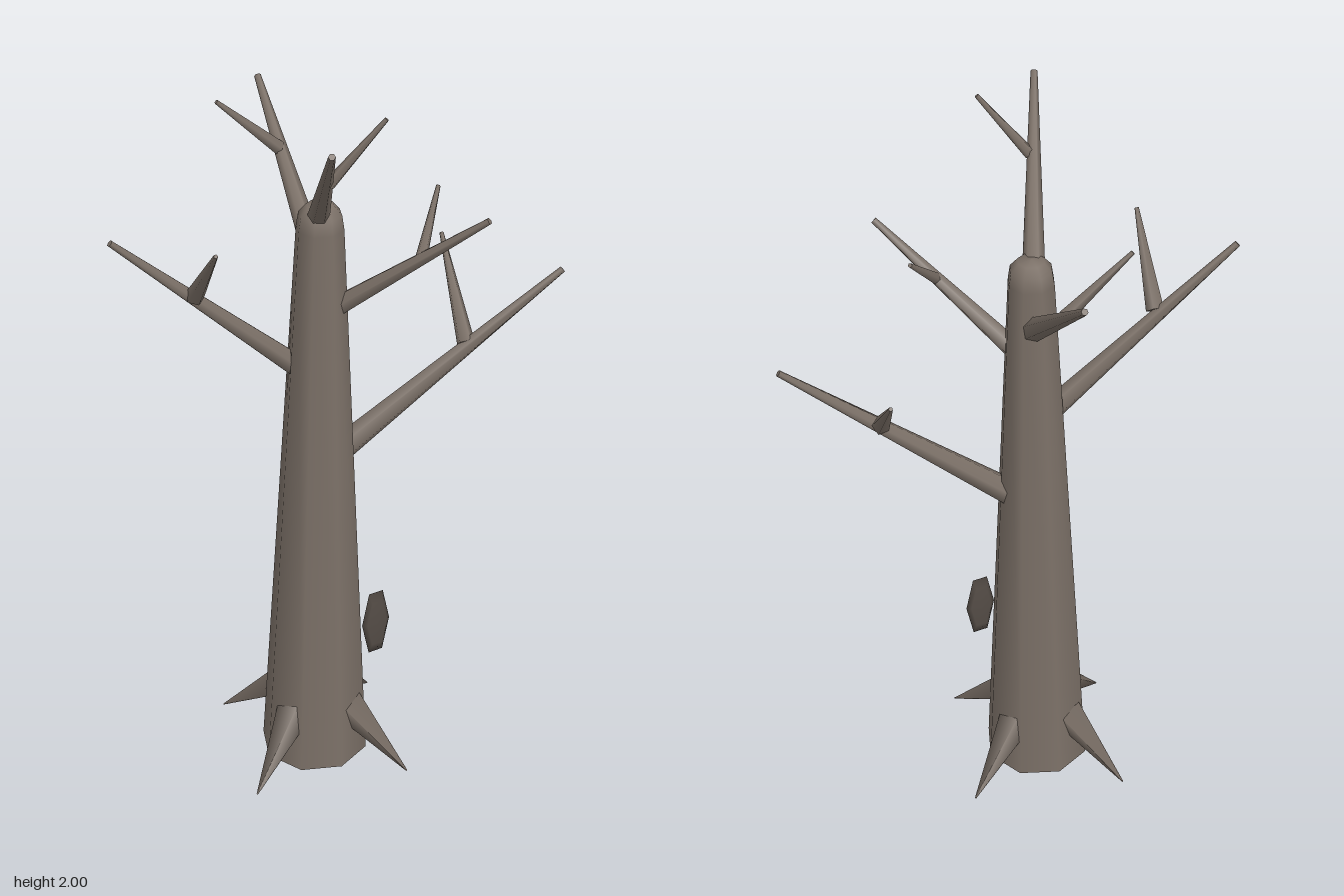
import * as THREE from 'three';

const bark = new THREE.MeshStandardMaterial({ color: 0x7b7067 });
const openBark = new THREE.MeshStandardMaterial({ color: 0x7b7067, side: THREE.DoubleSide });
const darkBark = new THREE.MeshStandardMaterial({ color: 0x544c46 });
const V = (p) => new THREE.Vector3(...p);

// Tapered limb running from point a to point b
function limb(name, a, b, r0, r1, sides) {
  const from = V(a), dir = V(b).sub(from), len = dir.length();
  const geo = new THREE.CylinderGeometry(r1, r0, len, sides);
  geo.translate(0, len / 2, 0);
  const mesh = new THREE.Mesh(geo, bark);
  mesh.name = name;
  mesh.position.copy(from);
  mesh.quaternion.setFromUnitVectors(new THREE.Vector3(0, 1, 0), dir.normalize());
  return mesh;
}

// Leaning eight-sided trunk with a rounded top, hollow and open at the bottom
function makeTrunk() {
  const profile = [[0.148, 0.004], [0.063, 1.6], [0.057, 1.638], [0.036, 1.663], [0, 1.668]];
  const geo = new THREE.LatheGeometry(profile.map(([r, y]) => new THREE.Vector2(r, y)), 8);
  const pos = geo.attributes.position;
  for (let i = 0; i < pos.count; i++) {
    pos.setX(i, pos.getX(i) - 0.072 + 0.022 * pos.getY(i) / 1.668);
    pos.setZ(i, pos.getZ(i) + 0.055);
  }
  const mesh = new THREE.Mesh(geo, openBark);
  mesh.name = 'trunk';
  return mesh;
}

export function createModel() {
  const tree = new THREE.Group();
  tree.name = 'bareTree';
  tree.add(makeTrunk());

  // Four pointed roots at right angles
  for (let i = 0; i < 4; i++) {
    const a = 1.08 + i * Math.PI / 2;
    const at = (r, y) => [-0.072 + r * Math.cos(a), y, 0.052 + r * Math.sin(a)];
    tree.add(limb('root', at(0.1, 0.17), at(0.3, 0.008), 0.05, 0.002, 4));
  }

  // Branches, each with one twig: start, tip, twig start, twig tip, branch radius, twig radius
  const branches = [
    [[-0.055, 1.62, 0.05], [-0.235, 1.98, 0.415], [-0.155, 1.83, 0.27], [-0.034, 1.998, 0.334], 0.03, 0.016],
    [[-0.09, 1.19, 0.035], [-0.578, 1.638, -0.07], [-0.375, 1.46, -0.015], [-0.41, 1.66, 0.165], 0.033, 0.025],
    [[0.01, 0.94, 0.065], [0.578, 1.395, 0.237], [0.335, 1.205, 0.155], [0.396, 1.42, -0.063], 0.037, 0.025],
    [[-0.015, 1.385, 0.09], [0.24, 1.68, 0.38], [0.13, 1.55, 0.245], [0.243, 1.68, 0.145], 0.028, 0.016],
    [[-0.035, 1.485, 0.01], [0.041, 1.82, -0.415], [0.003, 1.69, -0.24], [-0.163, 1.845, -0.27], 0.032, 0.019],
  ];
  for (const [start, tip, twigStart, twigTip, branchRadius, twigRadius] of branches) {
    tree.add(limb('branch', start, tip, branchRadius, 0.009, 6));
    tree.add(limb('twig', twigStart, twigTip, twigRadius, 0.006, 5));
  }

  // Flattened six-sided knot on the front of the trunk
  const knotGeo = new THREE.SphereGeometry(1, 6, 4);
  knotGeo.rotateX(Math.PI / 2);
  knotGeo.scale(0.043, 0.11, 0.011);
  const knot = new THREE.Mesh(knotGeo, darkBark);
  knot.name = 'knot';
  knot.position.set(0.037, 0.45, 0.198);
  tree.add(knot);

  return tree;
}
